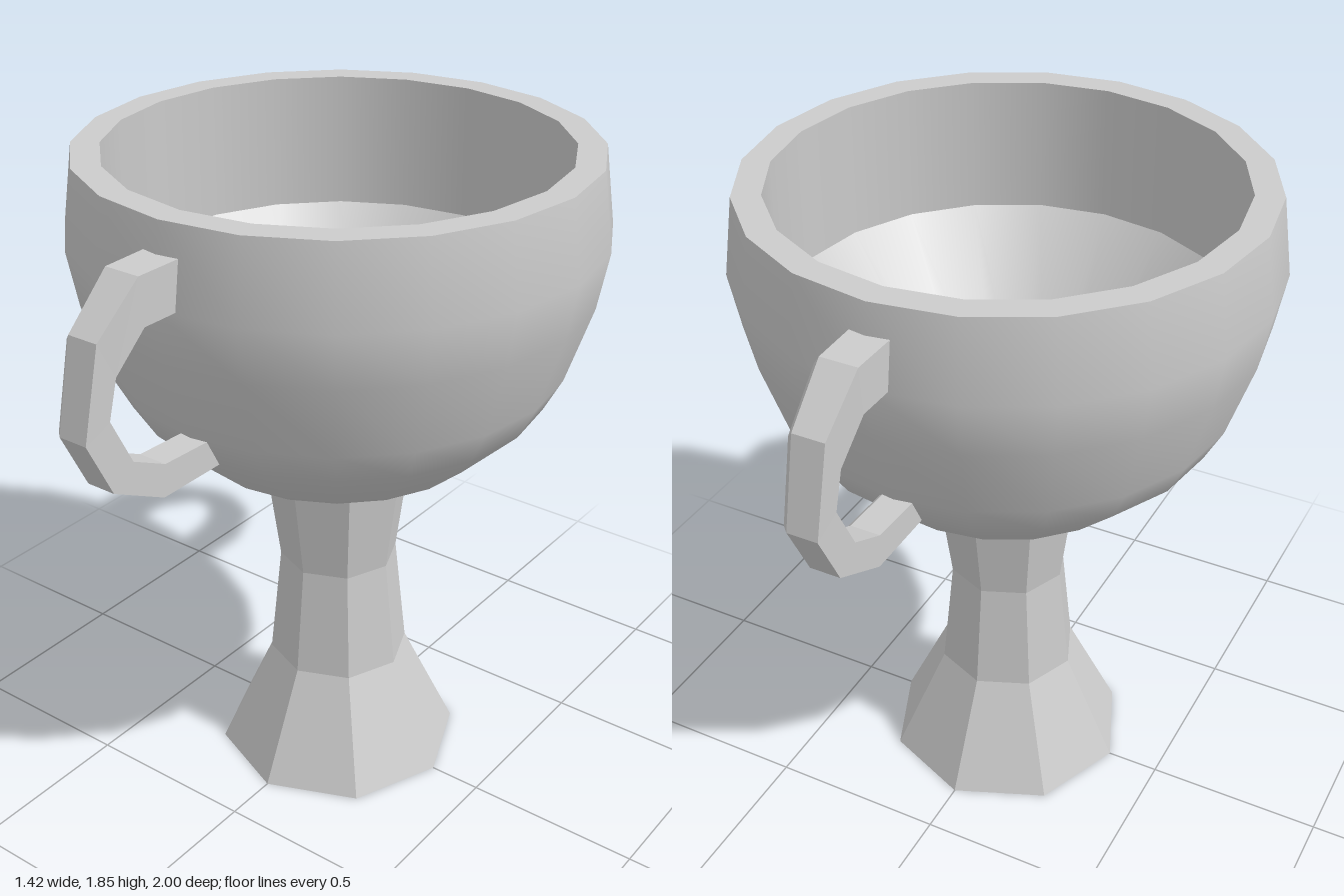
import * as THREE from 'three';

const v2 = (pts) => pts.map(([r, y]) => new THREE.Vector2(r, y));

export function createModel() {
  const group = new THREE.Group();
  const smooth = new THREE.MeshStandardMaterial({ color: 0xcccccc });
  const flat = new THREE.MeshStandardMaterial({ color: 0xcccccc, flatShading: true });

  const turned = (name, pts, sides, material, parent) => {
    const mesh = new THREE.Mesh(new THREE.LatheGeometry(v2(pts), sides), material);
    mesh.name = name;
    parent.add(mesh);
  };

  // Eight-sided stem with flared foot
  turned('stem', [[0, 0], [0.35, 0], [0.2, 0.32], [0.167, 0.64], [0.205, 0.93], [0, 0.93]], 8, flat, group);

  // Twenty-sided bowl; separate bands keep the rim and floor edges sharp
  const bowl = new THREE.Group();
  bowl.name = 'bowl';
  group.add(bowl);
  const bands = {
    bowlUnderside: [[0, 0.922], [0.2, 0.922]],
    bowlOuter: [[0.2, 0.922], [0.31, 0.97], [0.405, 1.025], [0.566, 1.18], [0.615, 1.273],
      [0.683, 1.483], [0.71, 1.635], [0.68, 1.845]],
    rim: [[0.68, 1.845], [0.605, 1.845]],
    innerWall: [[0.605, 1.845], [0.61, 1.47]],
    innerSlope: [[0.61, 1.47], [0.225, 1.0]],
    bowlFloor: [[0.225, 1.0], [0, 1.0]],
  };
  for (const [name, pts] of Object.entries(bands)) turned(name, pts, 20, smooth, bowl);

  // Handle stations: outer z, outer y, inner z, inner y, half width
  const stations = [
    [0.64, 1.765, 0.64, 1.64, 0.06],
    [0.81, 1.765, 0.80, 1.64, 0.057],
    [0.945, 1.65, 0.893, 1.55, 0.05],
    [1.0, 1.42, 0.92, 1.45, 0.048],
    [0.925, 1.267, 0.855, 1.32, 0.048],
    [0.76, 1.18, 0.75, 1.267, 0.048],
    [0.5, 1.18, 0.5, 1.257, 0.048],
  ];
  const handleGeo = handleGeometry(stations);
  ['frontHandle', 'backHandle'].forEach((name, i) => {
    const mesh = new THREE.Mesh(handleGeo, flat);
    mesh.name = name;
    mesh.rotation.y = i * Math.PI;
    group.add(mesh);
  });
  return group;
}

// Lofts a six-cornered section, bevelled on one side, through the stations
function handleGeometry(stations) {
  const pos = [], index = [], n = 6;
  for (const [oz, oy, iz, iy, w] of stations) {
    const section = [[w, 0], [-w + 0.015, 0], [-w, 0.17], [-w, 0.83], [-w + 0.015, 1], [w, 1]];
    for (const [x, t] of section) pos.push(x, oy + (iy - oy) * t, oz + (iz - oz) * t);
  }
  for (let s = 0; s < stations.length - 1; s++) {
    for (let j = 0; j < n; j++) {
      const a = s * n + j, b = s * n + (j + 1) % n;
      index.push(a, b, a + n, b, b + n, a + n);
    }
  }
  // End caps
  const last = (stations.length - 1) * n;
  for (let j = 1; j < n - 1; j++) {
    index.push(0, j + 1, j, last, last + j, last + j + 1);
  }
  const geo = new THREE.BufferGeometry();
  geo.setAttribute('position', new THREE.Float32BufferAttribute(pos, 3));
  geo.setIndex(index);
  geo.computeVertexNormals();
  return geo;
}
